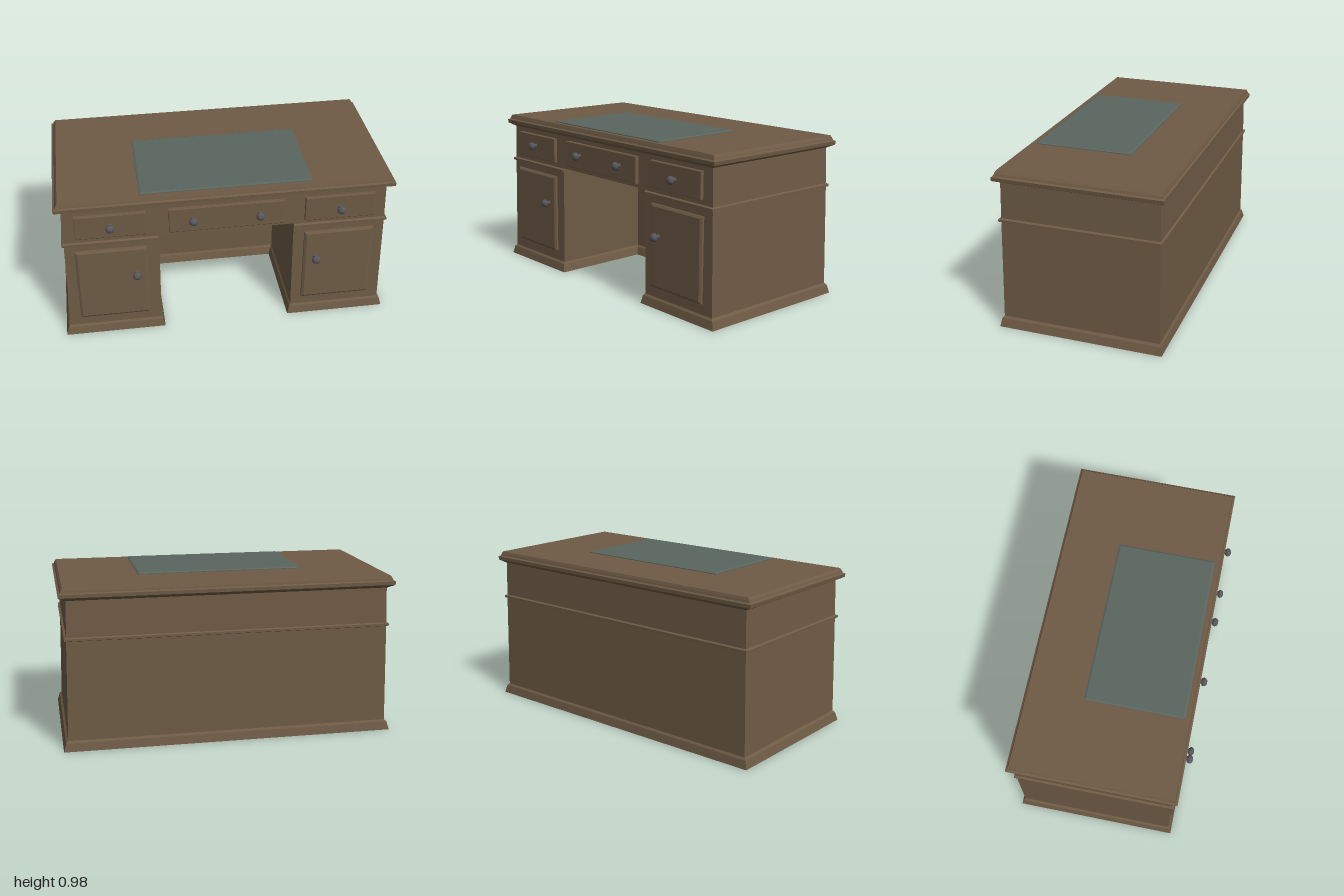
import * as THREE from 'three';

const wood = new THREE.MeshStandardMaterial({ color: 0x6e5b45, flatShading: true });
const leather = new THREE.MeshStandardMaterial({ color: 0x5a655f, flatShading: true });
const metal = new THREE.MeshStandardMaterial({ color: 0x58585c });

// Stacked outlines: each level is { y, ring: [[x, z], ...] }, counter-clockwise from above
function loft(levels) {
  const pos = [];
  const put = (level, i) => pos.push(level.ring[i][0], level.y, level.ring[i][1]);
  for (let k = 0; k < levels.length - 1; k++) {
    const a = levels[k], b = levels[k + 1], n = a.ring.length;
    for (let i = 0; i < n; i++) {
      const j = (i + 1) % n;
      put(a, i); put(a, j); put(b, j);
      put(a, i); put(b, j); put(b, i);
    }
  }
  const cap = (level, order) => {
    const contour = level.ring.map(([x, z]) => new THREE.Vector2(x, -z));
    for (const f of THREE.ShapeUtils.triangulateShape(contour, [])) order.forEach(o => put(level, f[o]));
  };
  cap(levels[0], [2, 1, 0]);
  cap(levels[levels.length - 1], [0, 1, 2]);
  const g = new THREE.BufferGeometry();
  g.setAttribute('position', new THREE.Float32BufferAttribute(pos, 3));
  g.computeVertexNormals();
  return g;
}

// Rectangle outline: half width w, front f, back b
const rect = (y, w, f, b) => ({ y, ring: [[-w, f], [w, f], [w, b], [-w, b]] });

// Outline with a kneehole: half width k, reaching back to kz
const uShape = (y, w, f, b, k, kz) => ({
  y, ring: [[-w, f], [-k, f], [-k, kz], [k, kz], [k, f], [w, f], [w, b], [-w, b]],
});

// Front panel with a bevelled rim, facing +z
function panel(w, h, depth, bevel) {
  const level = (d, inset) => rect(d, w / 2 - inset, h / 2 - inset, -h / 2 + inset);
  return loft([level(-0.015, 0), level(depth - bevel * 0.6, 0), level(depth, bevel)]).rotateX(Math.PI / 2);
}

function knobGeometry() {
  const profile = [[0.016, 0], [0.012, 0.008], [0.011, 0.018], [0.019, 0.024], [0.025, 0.031],
    [0.026, 0.038], [0.022, 0.048], [0.013, 0.055], [0, 0.057]];
  return new THREE.LatheGeometry(profile.map(p => new THREE.Vector2(...p)), 16).rotateX(Math.PI / 2);
}

export function createModel() {
  const desk = new THREE.Group();
  desk.name = 'pedestalDesk';
  const add = (name, geometry, material, x = 0, y = 0, z = 0) => {
    const mesh = new THREE.Mesh(geometry, material);
    mesh.name = name;
    mesh.position.set(x, y, z);
    desk.add(mesh);
    return mesh;
  };

  // Carcass: plinth, pedestals with modesty panel, waist moulding, drawer case
  add('plinth', loft([
    uShape(0, 1, 0.472, -0.518, 0.388, -0.15),
    uShape(0.05, 0.986, 0.462, -0.508, 0.4, -0.162),
    uShape(0.062, 0.973, 0.452, -0.498, 0.409, -0.171),
  ]), wood);
  add('pedestals', loft([
    uShape(0.06, 0.973, 0.452, -0.498, 0.409, -0.171),
    uShape(0.688, 0.96, 0.444, -0.492, 0.403, -0.171),
  ]), wood);
  add('waistMoulding', loft([
    uShape(0.66, 0.962, 0.446, -0.494, 0.4035, -0.171),
    uShape(0.664, 0.973, 0.457, -0.503, 0.4035, -0.171),
    uShape(0.677, 0.973, 0.457, -0.503, 0.4035, -0.171),
    uShape(0.683, 0.962, 0.446, -0.494, 0.4035, -0.171),
  ]), wood);
  add('drawerCase', loft([
    rect(0.686, 0.96, 0.444, -0.492),
    rect(0.9, 0.954, 0.441, -0.488),
  ]), wood);

  // Moulded top and writing pad
  add('deskTop', loft([
    rect(0.897, 0.956, 0.443, -0.49),
    rect(0.917, 0.997, 0.474, -0.517),
    rect(0.938, 1, 0.475, -0.518),
    rect(0.944, 0.987, 0.465, -0.508),
    rect(0.957, 0.982, 0.461, -0.505),
    rect(0.971, 0.972, 0.456, -0.5),
  ]), wood);
  add('writingPad', loft([
    rect(0.966, 0.507, 0.427, -0.167),
    rect(0.975, 0.507, 0.427, -0.167),
    rect(0.98, 0.497, 0.417, -0.157),
  ]), leather, 0, 0, 0);

  // Drawer fronts
  for (const [name, x, w, h] of [['rightDrawer', -0.683, 0.412, 0.155],
    ['centreDrawer', -0.002, 0.682, 0.162], ['leftDrawer', 0.676, 0.418, 0.16]]) {
    add(name, panel(w, h, 0.02, 0.004), wood, x, 0.791, 0.443);
  }

  // Doors lean with the tapered pedestals
  for (const [name, x] of [['rightDoor', -0.691], ['leftDoor', 0.684]]) {
    add(name, panel(0.425, 0.497, 0.019, 0.014), wood, x, 0.373, 0.449).rotation.x = -0.012;
  }

  // Knobs
  const knob = knobGeometry();
  for (const [x, y, z] of [[-0.687, 0.797, 0.459], [-0.204, 0.797, 0.459], [0.19, 0.797, 0.459],
    [0.677, 0.791, 0.459], [-0.547, 0.439, 0.464], [0.543, 0.439, 0.464]]) {
    add('knob', knob, metal, x, y, z);
  }
  return desk;
}
